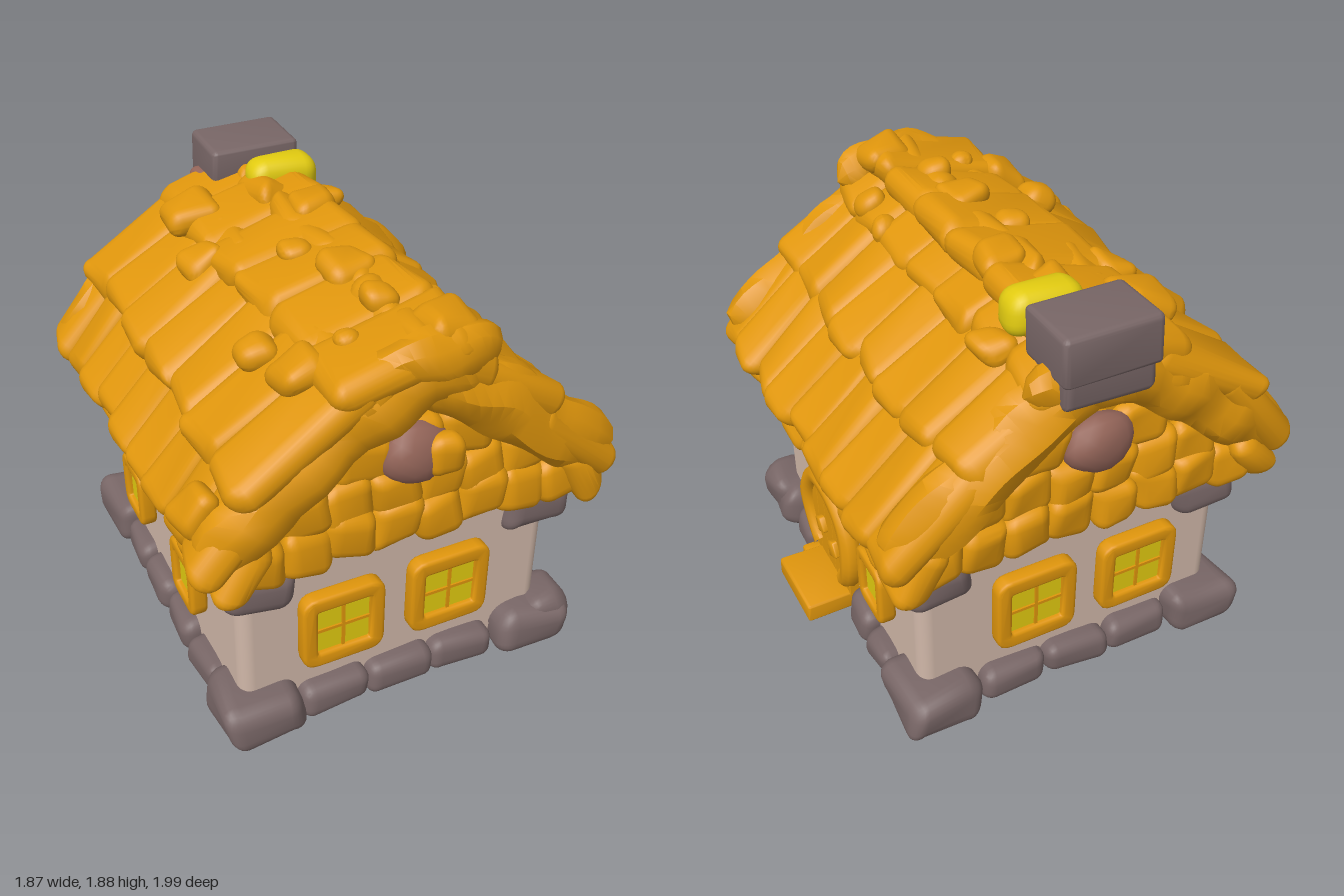
import * as THREE from 'three';
import { toCreasedNormals } from 'three/addons/utils/BufferGeometryUtils.js';
import { RoundedBoxGeometry } from 'three/addons/geometries/RoundedBoxGeometry.js';

const mat = (name, color) => Object.assign(new THREE.MeshStandardMaterial({ color }), { name });
const thatch = mat('thatch orange', 0xe0960c);
const plaster = mat('plaster beige', 0xd0b7a8);
const stone = mat('stone grey', 0x786666);
const glow = mat('window yellow', 0xe2cb10);
const clay = mat('clay red', 0x946559);

let seed = 7;
const rnd = () => ((seed = (seed * 16807) % 2147483647) / 2147483647);
const vary = (a) => (rnd() - 0.5) * 2 * a;

// Pushes vertices about by a smooth wave so that a part looks hand-carved
function roughen(geo, amount) {
  const p = geo.attributes.position, s = rnd() * 50;
  for (let i = 0; i < p.count; i++) {
    const x = p.getX(i), y = p.getY(i), z = p.getZ(i);
    p.setXYZ(i,
      x + amount * Math.sin(y * 17 + z * 13 + s),
      y + amount * Math.sin(z * 15 + x * 19 + s * 2),
      z + amount * Math.sin(x * 16 + y * 14 + s * 3));
  }
  return toCreasedNormals(geo, 0.7);
}

function add(parent, name, geo, material, x = 0, y = 0, z = 0) {
  const m = new THREE.Mesh(geo, material);
  m.name = name;
  m.position.set(x, y, z);
  parent.add(m);
  return m;
}

// Rounded irregular block
function lump(parent, name, material, [w, h, d], [x, y, z], rough = 0.012, round = 0.35) {
  const geo = new RoundedBoxGeometry(w, h, d, 3, Math.min(w, h, d) * round);
  return add(parent, name, roughen(geo, rough), material, x, y, z);
}

// Thick bundle along a path, closed off at both ends
function bundle(parent, name, pts, radius) {
  const curve = new THREE.CatmullRomCurve3(pts.map((p) => new THREE.Vector3(...p)));
  const rings = 20, sides = 10;
  const geo = new THREE.TubeGeometry(curve, rings, radius, sides);
  const p = geo.attributes.position, v = new THREE.Vector3();
  for (let i = 0; i < p.count; i++) {
    const t = Math.floor(i / (sides + 1)) / rings, c = curve.getPointAt(t);
    const f = Math.sqrt(Math.max(0, 1 - Math.abs(2 * t - 1) ** 7));
    v.fromBufferAttribute(p, i).sub(c).multiplyScalar(f).add(c);
    p.setXYZ(i, v.x, v.y, c.z + (v.z - c.z) * 0.8);
  }
  return add(parent, name, roughen(geo, 0.013), thatch);
}

function roundedRect(shape, w, h, r) {
  const x = w / 2, y = h / 2;
  shape.moveTo(-x + r, -y).lineTo(x - r, -y).quadraticCurveTo(x, -y, x, -y + r);
  shape.lineTo(x, y - r).quadraticCurveTo(x, y, x - r, y);
  shape.lineTo(-x + r, y).quadraticCurveTo(-x, y, -x, y - r);
  shape.lineTo(-x, -y + r).quadraticCurveTo(-x, -y, -x + r, -y);
  return shape;
}

// Window facing +z with its back on the wall
function makeWindow(w, h, paneW, paneH, bars) {
  const g = new THREE.Group();
  g.name = 'window';
  const b = 0.016;
  const outline = roundedRect(new THREE.Shape(), w - 2 * b, h - 2 * b, 0.05);
  outline.holes.push(roundedRect(new THREE.Path(), paneW + 2 * b, paneH + 2 * b, 0.025));
  const geo = new THREE.ExtrudeGeometry(outline, {
    depth: 0.04, bevelSize: b, bevelThickness: b, bevelSegments: 3, curveSegments: 4 });
  add(g, 'windowFrame', toCreasedNormals(geo, 0.7), thatch);
  add(g, 'windowPane', new THREE.BoxGeometry(paneW + 0.04, paneH + 0.04, 0.009), glow, 0, 0, 0.028);
  if (bars) {
    add(g, 'windowBar', new THREE.BoxGeometry(0.014, paneH + 0.02, 0.02), thatch, 0, 0, 0.03);
    add(g, 'windowBar', new THREE.BoxGeometry(paneW + 0.02, 0.014, 0.02), thatch, 0, 0, 0.03);
  }
  return g;
}

export function createModel() {
  const model = new THREE.Group();
  const place = (g, x, y, z, turn) => {
    g.position.set(x, y, z);
    g.rotation.y = turn;
    model.add(g);
  };

  // Walls
  add(model, 'walls', new RoundedBoxGeometry(1.39, 0.95, 1.51, 4, 0.06), plaster, -0.005, 0.5, 0);

  // Corner stones, at the ground and under the eaves
  for (const sx of [-1, 1]) for (const sz of [-1, 1]) {
    lump(model, 'baseCornerStone', stone, [0.34, 0.21, 0.35], [sx * 0.63, 0.115, sz * 0.715], 0.012);
    lump(model, 'upperCornerStone', stone, [0.29, 0.2, 0.28], [sx * 0.61, 0.755, sz * 0.68], 0.012);
  }
  lump(model, 'baseCornerStone', stone, [0.23, 0.23, 0.27], [0.7, 0.13, 0.73]);
  lump(model, 'upperStone', stone, [0.16, 0.1, 0.12], [0.42, 0.88, 0.74]);

  // Rows of base stones between the corners
  for (const sz of [-1, 1]) for (const x of [-0.31, -0.01, 0.29])
    lump(model, 'baseStone', stone, [0.3, 0.155, 0.18], [x, 0.1, sz * 0.75], 0.007);
  for (const z of [-0.42, -0.14, 0.14, 0.42])
    lump(model, 'baseStone', stone, [0.17, 0.14 + rnd() * 0.04, 0.27], [-0.69, 0.1, z], 0.008);
  for (const [z, h] of [[0.43, 0.16], [-0.21, 0.19], [-0.42, 0.14]])
    lump(model, 'baseStone', stone, [0.17, h, 0.22], [0.68, 0.015 + h / 2, z], 0.008);

  // Windows on all four sides
  for (const s of [1, -1]) {
    const turn = s > 0 ? 0 : Math.PI;
    place(makeWindow(0.36, 0.36, 0.23, 0.22, true), -0.28, 0.485, s * 0.775, turn);
    place(makeWindow(0.36, 0.37, 0.23, 0.22, true), 0.2, 0.49, s * 0.775, turn);
  }
  place(makeWindow(0.25, 0.29, 0.14, 0.17, false), 0.705, 0.485, -0.4, Math.PI / 2);
  for (const z of [-0.36, 0.28])
    place(makeWindow(0.26, 0.29, 0.14, 0.17, false), -0.715, 0.49, z, -Math.PI / 2);

  // Round door, built facing +z and turned to the left side
  const door = new THREE.Group();
  door.name = 'door';
  const arch = new THREE.TorusGeometry(0.24, 0.05, 10, 36, Math.PI * 1.62);
  arch.rotateZ(-Math.PI * 0.31);
  add(door, 'doorFrame', roughen(arch, 0.004), thatch, 0, 0, 0.03);
  for (let i = -2; i <= 2; i++) {
    const top = Math.sqrt(0.23 ** 2 - (i * 0.085) ** 2) + 0.01;
    const h = top + 0.26;
    add(door, 'doorPlank', new RoundedBoxGeometry(0.087, h, 0.06, 2, 0.005), thatch, i * 0.085, top - h / 2, 0.015);
  }
  for (const [x, y] of [[-0.07, -0.04], [0.07, -0.08]]) {
    const knob = lump(door, 'doorKnob', thatch, [0.075, 0.075, 0.05], [x, y, 0.05], 0.006, 0.2);
    knob.rotation.z = 0.6;
  }
  place(door, 0.69, 0.375, 0.13, Math.PI / 2);
  lump(model, 'doorstep', thatch, [0.25, 0.09, 0.36], [0.81, 0.09, 0.1], 0.004, 0.15);
  lump(model, 'doorstepPeg', thatch, [0.12, 0.08, 0.07], [0.75, 0.065, 0.31], 0.004, 0.2);

  // Solid roof core with gables
  const core = new THREE.Shape([
    [-0.78, 0.92], [0.78, 0.92], [0.76, 1.08], [0.55, 1.28], [0.25, 1.53], [0, 1.68],
    [-0.2, 1.62], [-0.5, 1.44], [-0.74, 1.18]].map((p) => new THREE.Vector2(...p)));
  const coreGeo = new THREE.ExtrudeGeometry(core, { depth: 1.6, bevelEnabled: false });
  add(model, 'roofCore', coreGeo, thatch, 0, 0, -0.8);

  // Overlapping thatch rows: upper edge, lower edge, bundles per row
  const rows = [
    [0.72, 1.12, 0.85, 0.91, 9], [0.52, 1.4, 0.89, 1.07, 9], [0.2, 1.65, 0.61, 1.38, 8], [-0.02, 1.8, 0.3, 1.63, 7],
    [-0.74, 1.12, -0.85, 0.91, 9], [-0.58, 1.46, -0.91, 1.07, 9], [-0.24, 1.71, -0.74, 1.38, 7], [0.14, 1.81, -0.36, 1.68, 6]];
  for (const [x0, y0, x1, y1, n] of rows) {
    const dx = x1 - x0, dy = y1 - y0, len = Math.hypot(dx, dy);
    const nx = -dy * Math.sign(dx) / len, ny = Math.abs(dx) / len, step = 1.84 / n, thick = 0.15;
    for (let i = 0; i < n; i++) {
      const z = -0.92 + step * (i + 0.5), slip = vary(0.04);
      const b = lump(model, 'thatchBundle', thatch, [len + 0.06 + vary(0.02), thick, step + 0.05],
        [(x0 + x1) / 2 - nx * thick / 2 + slip * dx, (y0 + y1) / 2 - ny * thick / 2 + slip * dy + vary(0.01), z], 0.014, 0.48);
      b.rotation.z = Math.atan(dy / dx);
    }
  }

  // Loose tufts near the ridge
  const tufts = [[-0.32, 1.67, -0.6, 0.24], [-0.4, 1.61, -0.27, 0.18], [-0.13, 1.73, 0.03, 0.14], [-0.02, 1.76, 0.28, 0.2],
    [-0.03, 1.76, 0.55, 0.14], [-0.22, 1.7, 0.67, 0.1], [-0.4, 1.61, 0.65, 0.2], [-0.45, 1.58, 0.43, 0.16],
    [0.24, 1.64, 0.62, 0.14], [0.27, 1.61, 0.42, 0.12], [0.28, 1.63, -0.57, 0.16], [0.08, 1.77, -0.25, 0.2],
    [-0.83, 1.19, 0.72, 0.2], [0.1, 1.76, 0.8, 0.22]];
  for (const [x, y, z, s] of tufts)
    lump(model, 'thatchTuft', thatch, [s, 0.12, s], [x, y, z], 0.012, 0.48).rotation.z = -x;

  for (const s of [1, -1]) {
    // Thick rolls along the gable edges
    const z = s * 0.85;
    bundle(model, 'gableRoll', [[-0.03, 1.58, z], [0.25, 1.47, z], [0.5, 1.27, z], [0.85, 1.02, z * 0.98]], 0.14);
    bundle(model, 'gableRoll', [[0.26, 1.58, z], [0, 1.61, z * 1.01], [-0.35, 1.44, z], [-0.62, 1.22, z], [-0.88, 1.01, z * 0.98]], 0.14);
    const drop = s > 0 ? 0 : 0.07;
    bundle(model, 'ridgeRoll', [[0.3, 1.64 - drop, z], [0.1, 1.7 - drop, s * 0.88], [-0.15, 1.65 - drop, s * 0.87], [-0.4, 1.5 - drop, z]], 0.11);

    // Gable shingles in three rows
    for (const [y, half, n] of [[0.97, 0.74, 8], [1.12, 0.56, 6], [1.29, 0.32, 3]])
      for (let i = 0; i < n; i++) {
        const w = 2 * half / n;
        lump(model, 'gableShingle', thatch, [w + 0.03, 0.22, 0.13],
          [-half + w * (i + 0.5), y + vary(0.015), s * (0.84 - (y - 0.96) * 0.12)], 0.012, 0.48);
      }

    // Clay boss in the gable
    const boss = new THREE.IcosahedronGeometry(0.15, 2);
    boss.scale(1, 0.85, 0.6);
    add(model, 'gableBoss', roughen(boss, 0.008), clay, -0.02, 1.275, s * 0.85);
  }
  lump(model, 'gableTuft', thatch, [0.16, 0.18, 0.12], [0.085, 1.26, 0.9], 0.014, 0.48);

  // Chimney at the back of the ridge
  lump(model, 'chimneyBase', stone, [0.37, 0.22, 0.27], [0.03, 1.66, -0.85], 0.008, 0.15);
  lump(model, 'chimney', stone, [0.4, 0.2, 0.29], [0.03, 1.77, -0.855], 0.005, 0.12);
  lump(model, 'chimneyBrick', clay, [0.1, 0.12, 0.12], [-0.16, 1.68, -0.87], 0.006);
  lump(model, 'ridgeLantern', glow, [0.31, 0.18, 0.17], [0.1, 1.765, -0.6], 0.006, 0.42);

  return model;
}
